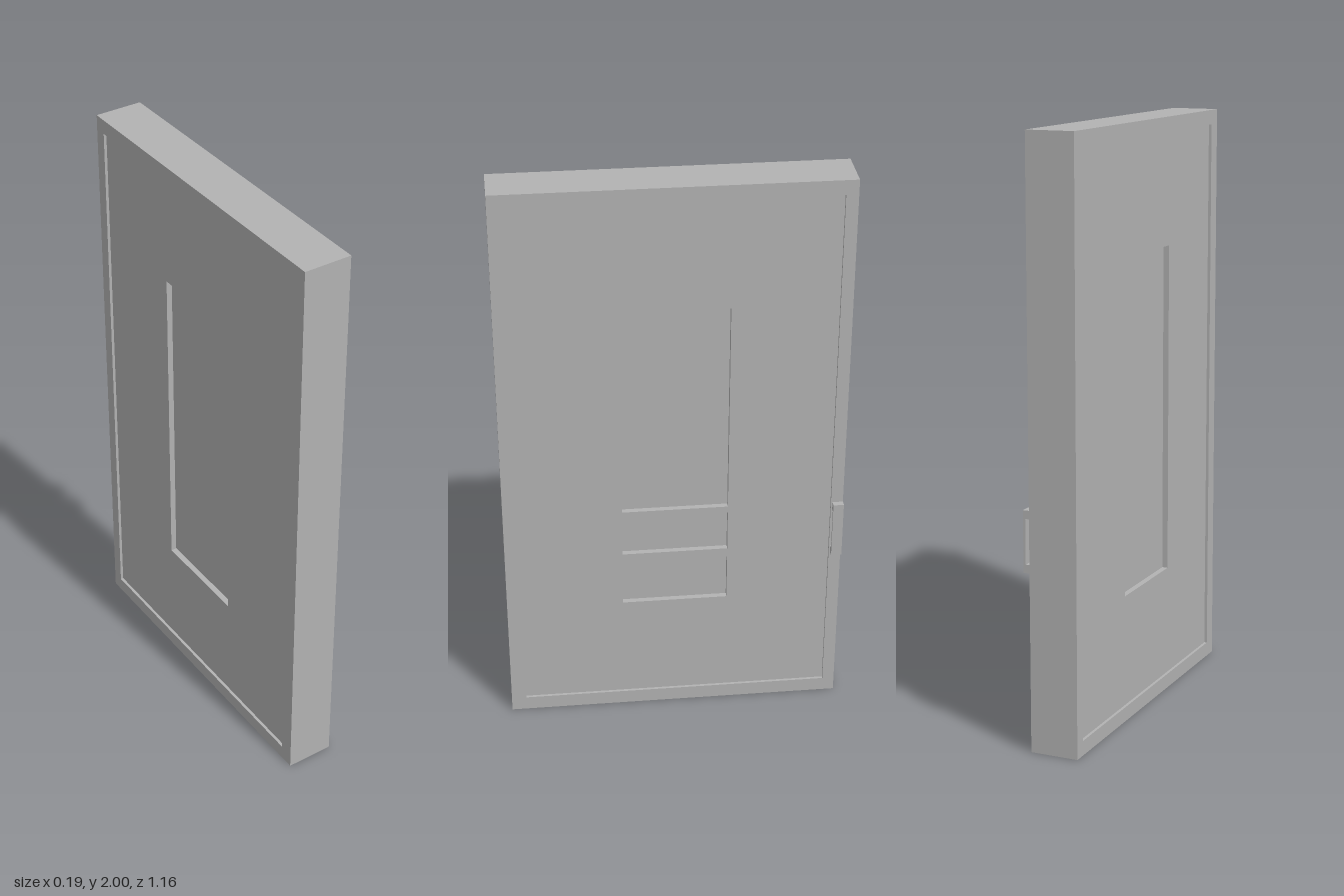
import * as THREE from 'three';

const grey = new THREE.MeshStandardMaterial({ color: 0xb2b2b2 });
grey.name = 'door grey';

// Rectangles are [zMin, zMax, yMin, yMax]; shapes are drawn in (-z, y)
function trace(path, [z0, z1, y0, y1]) {
  path.moveTo(-z1, y0);
  path.lineTo(-z0, y0);
  path.lineTo(-z0, y1);
  path.lineTo(-z1, y1);
  path.closePath();
  return path;
}

// A slab with rectangular openings, spanning x0 to x1
function slab(name, rect, x0, x1, openings = []) {
  const shape = trace(new THREE.Shape(), rect);
  for (const o of openings) shape.holes.push(trace(new THREE.Path(), o));
  const geo = new THREE.ExtrudeGeometry(shape, { depth: x1 - x0, bevelEnabled: false });
  geo.rotateY(Math.PI / 2);
  geo.translate(x0, 0, 0);
  const mesh = new THREE.Mesh(geo, grey);
  mesh.name = name;
  return mesh;
}

function box(name, x0, x1, y0, y1, z0, z1) {
  const mesh = new THREE.Mesh(new THREE.BoxGeometry(x1 - x0, y1 - y0, z1 - z0), grey);
  mesh.position.set((x0 + x1) / 2, (y0 + y1) / 2, (z0 + z1) / 2);
  mesh.name = name;
  return mesh;
}

export function createModel() {
  const model = new THREE.Group();
  model.name = 'door';

  // Outer frame around the slightly recessed door leaf
  const leaf = [-0.54, 0.53, 0.05, 1.95];
  model.add(slab('frame', [-0.581, 0.581, 0, 2], -0.093, 0.072, [leaf]));

  // Door leaf: a core between two skins with sunken panels
  const z0 = -0.186, z1 = 0.177;
  const panels = [[0.808, 1.567], [0.636, 0.784], [0.433, 0.602]].map(([a, b]) => [z0, z1, a, b]);
  model.add(slab('outerSkin', leaf, 0.042, 0.062, panels));
  model.add(slab('core', leaf, -0.063, 0.042));
  model.add(slab('innerSkin', leaf, -0.083, -0.063, [[z0, z1, 0.433, 1.567]]));

  // Handle: two posts and an upright grip at the rear edge
  const handle = new THREE.Group();
  handle.name = 'handle';
  const h0 = -0.581, h1 = -0.545;
  handle.add(
    box('grip', 0.085, 0.093, 0.602, 0.808, h0, h1),
    box('lowerPost', 0.072, 0.085, 0.602, 0.63, h0, h1),
    box('upperPost', 0.072, 0.085, 0.78, 0.808, h0, h1)
  );
  model.add(handle);
  return model;
}
